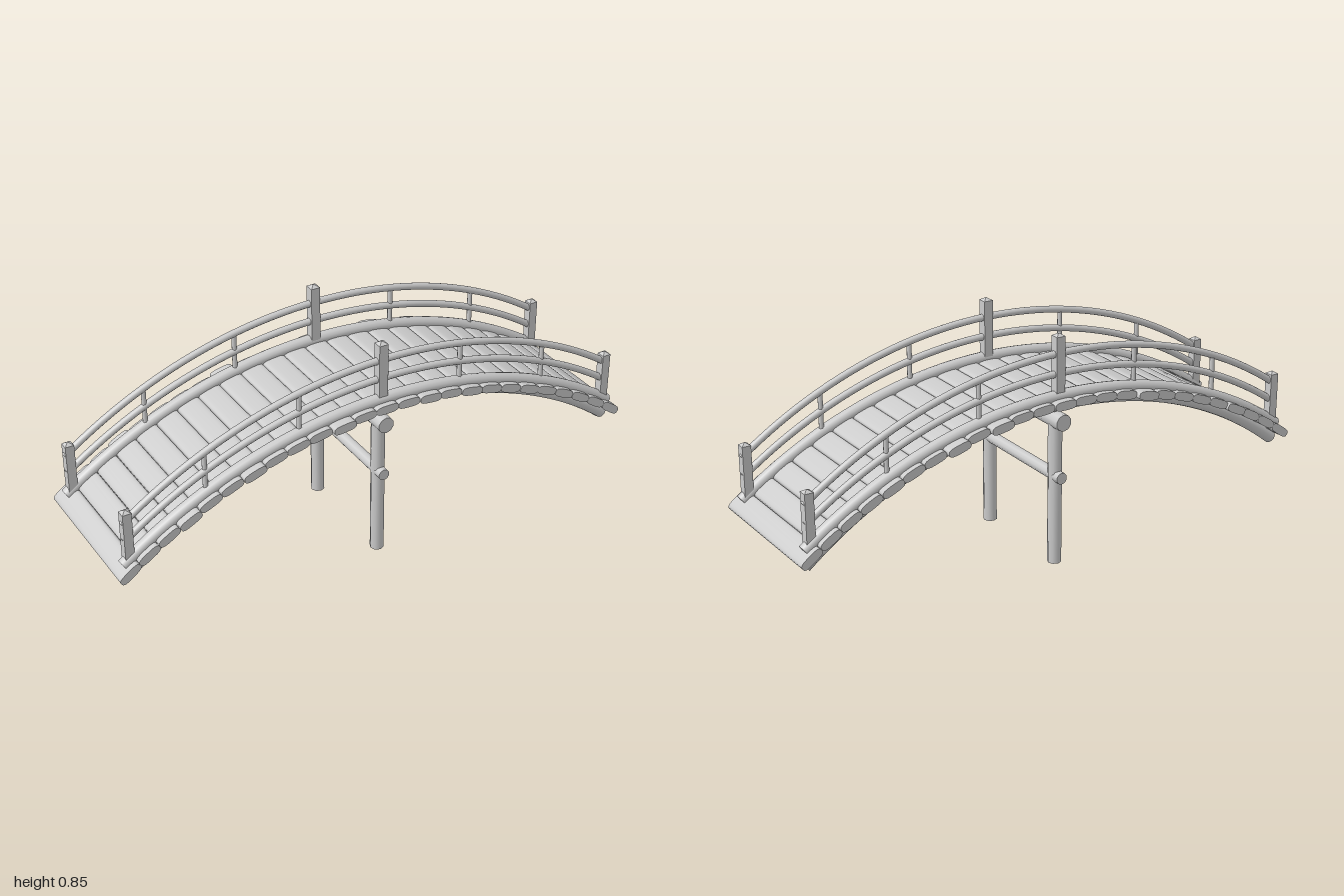
import * as THREE from 'three';

const ARC = 1.64; // radius of the deck and rail arcs

export function createModel() {
  const model = new THREE.Group();
  const mat = new THREE.MeshStandardMaterial({ color: 0xcccccc });

  const add = (geometry, name, x = 0, y = 0, z = 0, parent = model) => {
    const mesh = new THREE.Mesh(geometry, mat);
    mesh.name = name;
    mesh.position.set(x, y, z);
    parent.add(mesh);
    return mesh;
  };

  // height of an arc with its crown at y = crown
  const arcY = (x, crown) => crown - ARC + Math.sqrt(ARC * ARC - x * x);

  // round pole bent into an arch whose crown is at the origin
  const arch = (radius, R, halfSpan) => {
    const geo = new THREE.CylinderGeometry(radius, radius, 1, 12, 48);
    const half = Math.asin(halfSpan / R);
    const p = geo.attributes.position, n = geo.attributes.normal;
    for (let i = 0; i < p.count; i++) {
      const a = p.getY(i) * 2 * half, r = R - p.getX(i);
      const s = Math.sin(a), c = Math.cos(a), nx = n.getX(i), ny = n.getY(i);
      p.setXY(i, r * s, r * c - R);
      n.setXY(i, -nx * s + ny * c, -nx * c - ny * s);
    }
    return geo;
  };

  // square post with a low pointed top, standing on its origin
  const post = (name, x, y0, y1, z, w) => {
    const g = new THREE.Group();
    g.name = name;
    g.position.set(x, y0, z);
    const h = y1 - y0 - 0.01;
    add(new THREE.BoxGeometry(w, h, w), 'shaft', 0, h / 2, 0, g);
    const tip = new THREE.ConeGeometry(w / Math.SQRT2, 0.01, 4, 1, true).toNonIndexed();
    tip.rotateY(Math.PI / 4);
    tip.computeVertexNormals();
    add(tip, 'pointedTop', 0, h + 0.005, 0, g);
    model.add(g);
  };

  // deck planks: rounded slabs laid across the arch, some sticking out a little
  const COUNT = 25, HALF = 0.65, LEN = 0.536;
  const back = { 3: 0.008, 8: 0.016, 12: 0.006, 15: 0.016, 17: 0.016, 20: 0.005 };
  const front = { 3: 0.008, 6: 0.008, 10: 0.014, 14: 0.005, 16: 0.004, 19: 0.003 };
  const deck = new THREE.Group();
  deck.name = 'deck';
  model.add(deck);
  const width = (2 * HALF * ARC) / COUNT;
  for (let i = 0; i < COUNT; i++) {
    const b = back[i] || 0, f = front[i] || 0;
    const geo = new THREE.CylinderGeometry(1, 1, LEN + b + f, 20);
    // squash the round section into a flat one with soft shoulders
    const p = geo.attributes.position;
    const flat = (v, size) => Math.sign(v) * Math.pow(Math.abs(v), 0.6) * size;
    for (let k = 0; k < p.count; k++) {
      p.setX(k, flat(p.getX(k), width / 2));
      p.setZ(k, flat(p.getZ(k), 0.016));
    }
    geo.computeVertexNormals();
    geo.rotateX(Math.PI / 2);
    const a = ((i + 0.5) / COUNT * 2 - 1) * HALF;
    const plank = add(geo, 'plank', ARC * Math.sin(a), 0.603 - ARC * (1 - Math.cos(a)), (f - b) / 2, deck);
    plank.rotation.z = -a;
  }

  for (const side of [1, -1]) {
    const z = side * 0.223;

    // arched poles under, on and above the deck
    add(arch(0.024, 1.53, 0.96), 'stringer', 0, 0.588, side * 0.211);
    add(arch(0.022, ARC, 0.965), 'curbPole', 0, 0.622, side * 0.226);
    add(arch(0.0125, ARC, 0.955), 'middleRail', 0, 0.702, z);
    add(arch(0.0125, ARC, 0.958), 'topRail', 0, 0.773, z);

    // railing posts and thin pickets
    post('centrePost', 0, 0.6, 0.845, z, 0.034);
    for (const end of [1, -1]) {
      post('endPost', end * 0.944, 0.295, 0.516, z, 0.032);
      for (const px of [0.313, 0.66]) {
        const y0 = arcY(px, 0.615), y1 = arcY(px, 0.773);
        add(new THREE.CylinderGeometry(0.009, 0.009, y1 - y0, 8), 'picket', end * px, (y0 + y1) / 2, z);
      }
    }

    // support leg
    add(new THREE.CylinderGeometry(0.025, 0.025, 0.54, 8), 'leg', 0, 0.27, side * 0.207);
  }

  // round cross beams tying the legs together
  const beam = (radius, length) =>
    new THREE.CylinderGeometry(radius, radius, length, 10).rotateX(Math.PI / 2);
  add(beam(0.03, 0.52), 'capBeam', 0, 0.535);
  add(beam(0.021, 0.5), 'tieBeam', 0, 0.328);

  return model;
}
